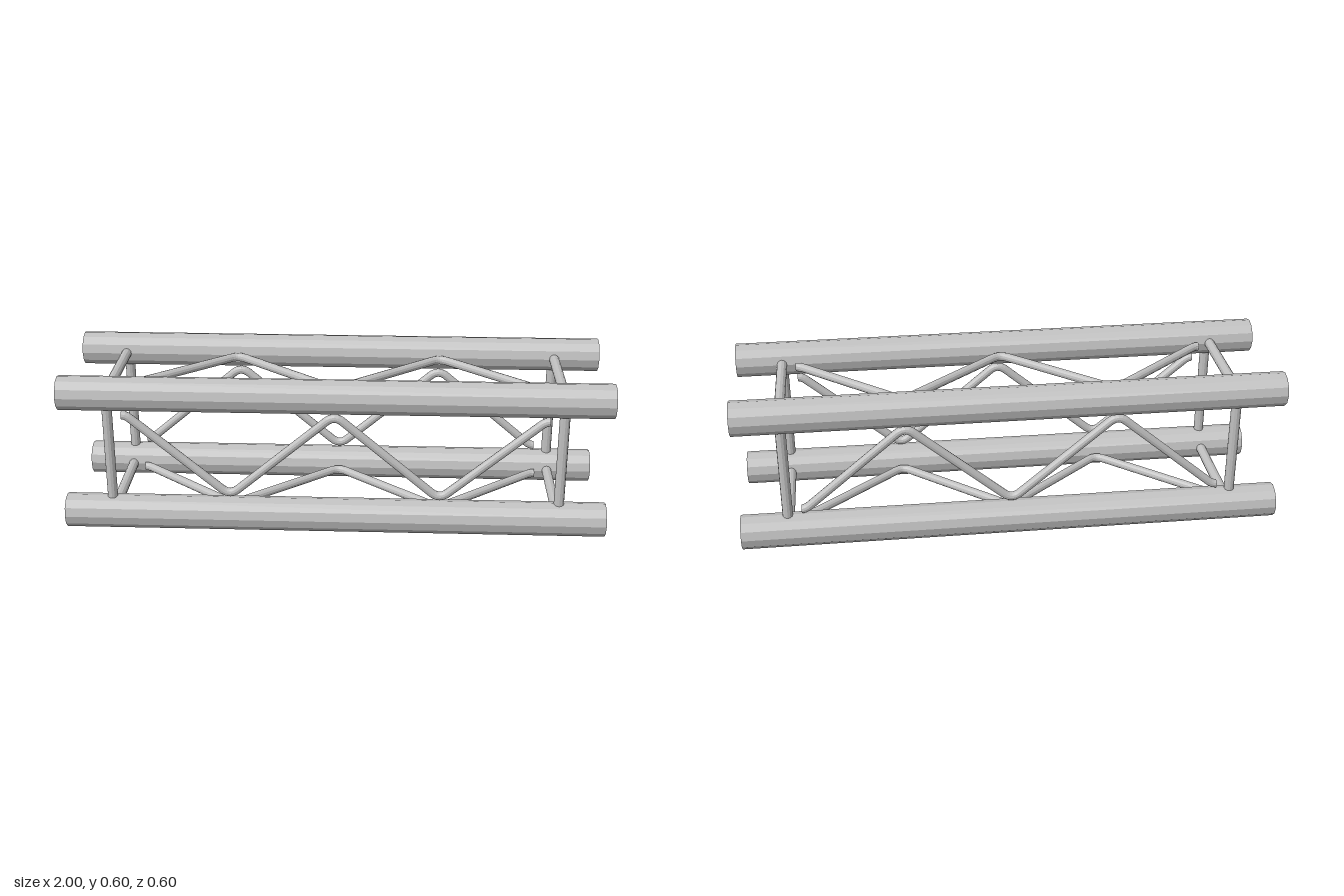
import * as THREE from 'three';

const CHORD_R = 0.0635;   // main tube radius
const HALF = 0.2365;      // chord axis offset from the truss centre
const POST_R = 0.019;
const LACE_R = 0.016;
const POST_X = 0.828;
const PITCH = 0.388;      // distance between neighbouring bends
const SIDES = 12;

// Zigzag with rounded bends, running along x in the local xy plane
class LacingCurve extends THREE.Curve {
  constructor(sign) {
    super();
    this.sign = sign;
  }
  getPoint(t, target = new THREE.Vector3()) {
    const x = (t * 4 - 2) * PITCH;
    const bend = Math.round(x / PITCH);
    const d = Math.abs(x - bend * PITCH);
    const round = 0.03, peak = 0.165, slope = peak / (PITCH / 2);
    const drop = d < round ? (round / 2 + d * d / (2 * round)) : d;
    const up = bend % 2 === 0 ? 1 : -1;
    return target.set(x, this.sign * up * (peak - slope * drop), 0);
  }
}

export function createModel() {
  const model = new THREE.Group();
  model.name = 'boxTruss';
  const metal = new THREE.MeshStandardMaterial({ color: 0xc0c0c0, flatShading: true });
  metal.name = 'aluminium';

  const add = (parent, geometry, name, x, y, z) => {
    const mesh = new THREE.Mesh(geometry, metal);
    mesh.name = name;
    mesh.position.set(x, y, z);
    parent.add(mesh);
    return mesh;
  };

  // Four main chords
  const chordGeo = new THREE.CylinderGeometry(CHORD_R, CHORD_R, 2, SIDES).rotateZ(Math.PI / 2);
  const midY = HALF + CHORD_R;
  for (const sy of [-1, 1]) {
    for (const sz of [-1, 1]) {
      add(model, chordGeo, `${sy > 0 ? 'upper' : 'lower'}${sz > 0 ? 'Front' : 'Back'}Chord`,
        0, midY + sy * HALF, sz * HALF);
    }
  }

  // Four lattice faces, turned about the long axis; the lacing phase alternates
  const postGeo = new THREE.CylinderGeometry(POST_R, POST_R, 2 * HALF, SIDES);
  const capGeo = new THREE.CircleGeometry(LACE_R, SIDES).rotateY(Math.PI / 2);
  ['front', 'top', 'back', 'bottom'].forEach((side, i) => {
    const face = new THREE.Group();
    face.name = `${side}Lattice`;
    face.position.y = midY;
    face.rotation.x = -i * Math.PI / 2;
    model.add(face);

    for (const s of [-1, 1]) add(face, postGeo, 'post', s * POST_X, 0, HALF);

    const curve = new LacingCurve(i % 2 === 0 ? 1 : -1);
    add(face, new THREE.TubeGeometry(curve, 160, LACE_R, SIDES), 'lacing', 0, 0, HALF);

    // Closed ends of the lacing bar
    for (const end of [0, 1]) {
      const p = curve.getPoint(end);
      const cap = add(face, capGeo, 'lacingEnd', p.x, p.y, HALF);
      if (end === 0) cap.rotation.y = Math.PI;
    }
  });

  return model;
}
